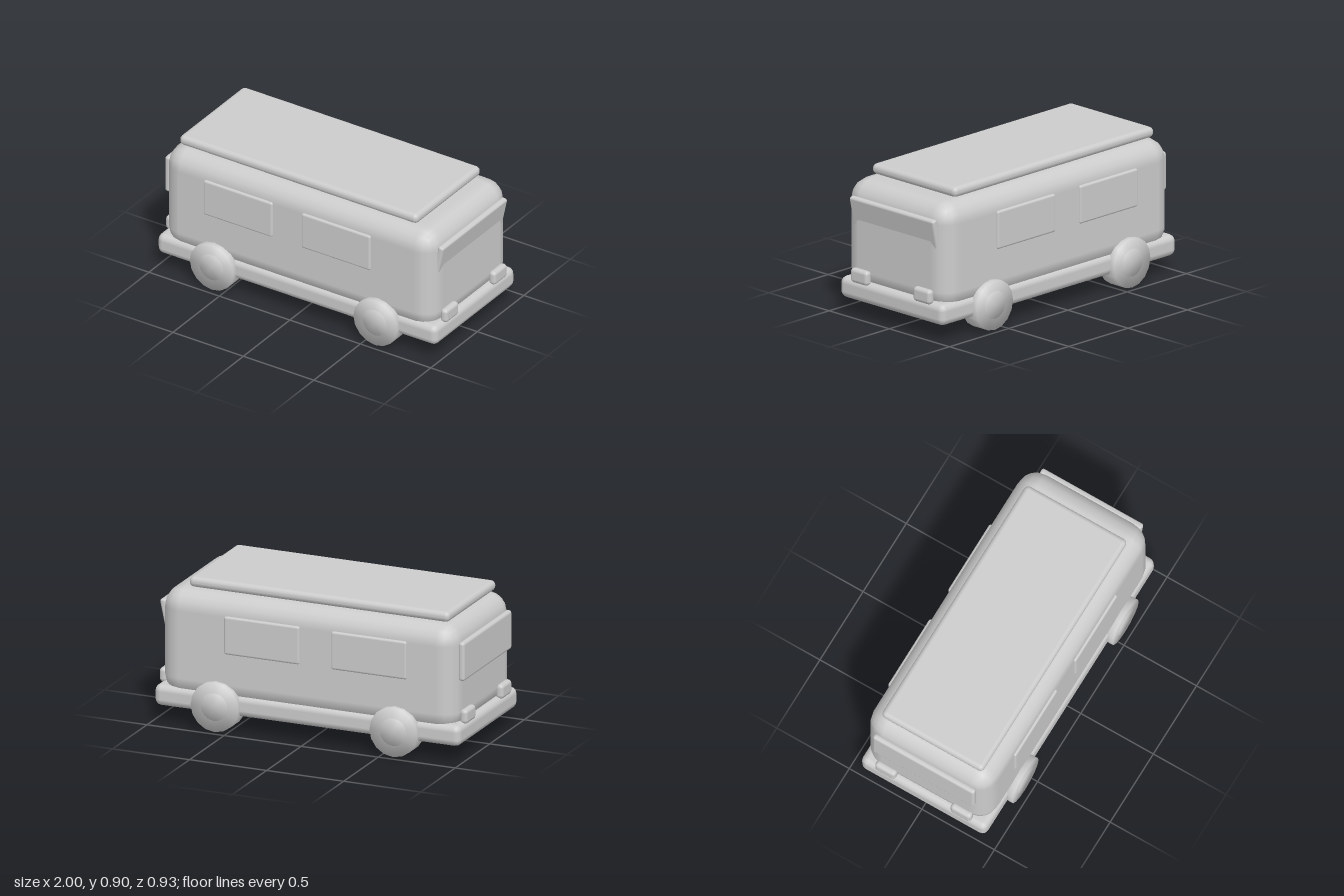
import * as THREE from 'three';
import { RoundedBoxGeometry } from 'three/addons/geometries/RoundedBoxGeometry.js';
import { mergeVertices } from 'three/addons/utils/BufferGeometryUtils.js';

export function createModel() {
  const group = new THREE.Group();
  const grey = new THREE.MeshStandardMaterial({ color: 0xcccccc });
  grey.name = 'plain grey';

  function add(name, geometry, x, y, z) {
    const mesh = new THREE.Mesh(geometry, grey);
    mesh.name = name;
    mesh.position.set(x, y, z);
    group.add(mesh);
    return mesh;
  }

  // Rounded box given by its limits on each axis
  function box(name, [x0, x1], [y0, y1], [z0, z1], radius, segments = 2) {
    const geometry = new RoundedBoxGeometry(x1 - x0, y1 - y0, z1 - z0, segments, radius);
    return add(name, geometry, (x0 + x1) / 2, (y0 + y1) / 2, (z0 + z1) / 2);
  }

  // Cylinder along z with soft shading over its rims
  function softDisc(radius, depth, sides) {
    const geometry = new THREE.CylinderGeometry(radius, radius, depth, sides);
    geometry.rotateX(Math.PI / 2);
    geometry.deleteAttribute('normal');
    geometry.deleteAttribute('uv');
    const welded = mergeVertices(geometry, 1e-4);
    welded.computeVertexNormals();
    return welded;
  }

  // Main shell, chassis skirt and raised roof
  box('body', [-0.965, 0.96], [0.16, 0.84], [-0.43, 0.43], 0.13);
  box('chassis', [-0.995, 0.99], [0.1, 0.232], [-0.432, 0.432], 0.042);
  box('roof', [-0.89, 0.8], [0.84, 0.905], [-0.35, 0.35], 0.03);

  // Windscreen leans out at the top and sinks into the body below
  const windscreen = box('windscreen', [0.924, 0.964], [0.5, 0.745], [-0.35, 0.35], 0.015);
  windscreen.rotation.z = -0.21;
  box('rearWindow', [-0.99, -0.95], [0.488, 0.73], [-0.35, 0.35], 0.018);

  for (const side of [-1, 1]) {
    // Side windows
    for (const x of [-0.41, 0.285]) {
      box('sideWindow', [x - 0.245, x + 0.245], [0.483, 0.72],
        [side * 0.425 - 0.017, side * 0.425 + 0.017], 0.014);
    }
    // Lamps at both ends
    const lampZ = [side * 0.26 - 0.071, side * 0.26 + 0.071];
    box('headlight', [0.95, 1], [0.216, 0.306], lampZ, 0.023);
    box('tailLight', [-1, -0.95], [0.216, 0.306], lampZ, 0.023);
    // Wheels and hubcaps
    for (const x of [-0.58, 0.58]) {
      add('wheel', softDisc(0.154, 0.122, 16), x, 0.154, side * 0.402);
      add('hubcap', softDisc(0.086, 0.04, 16), x, 0.156, side * 0.447);
    }
  }
  return group;
}
